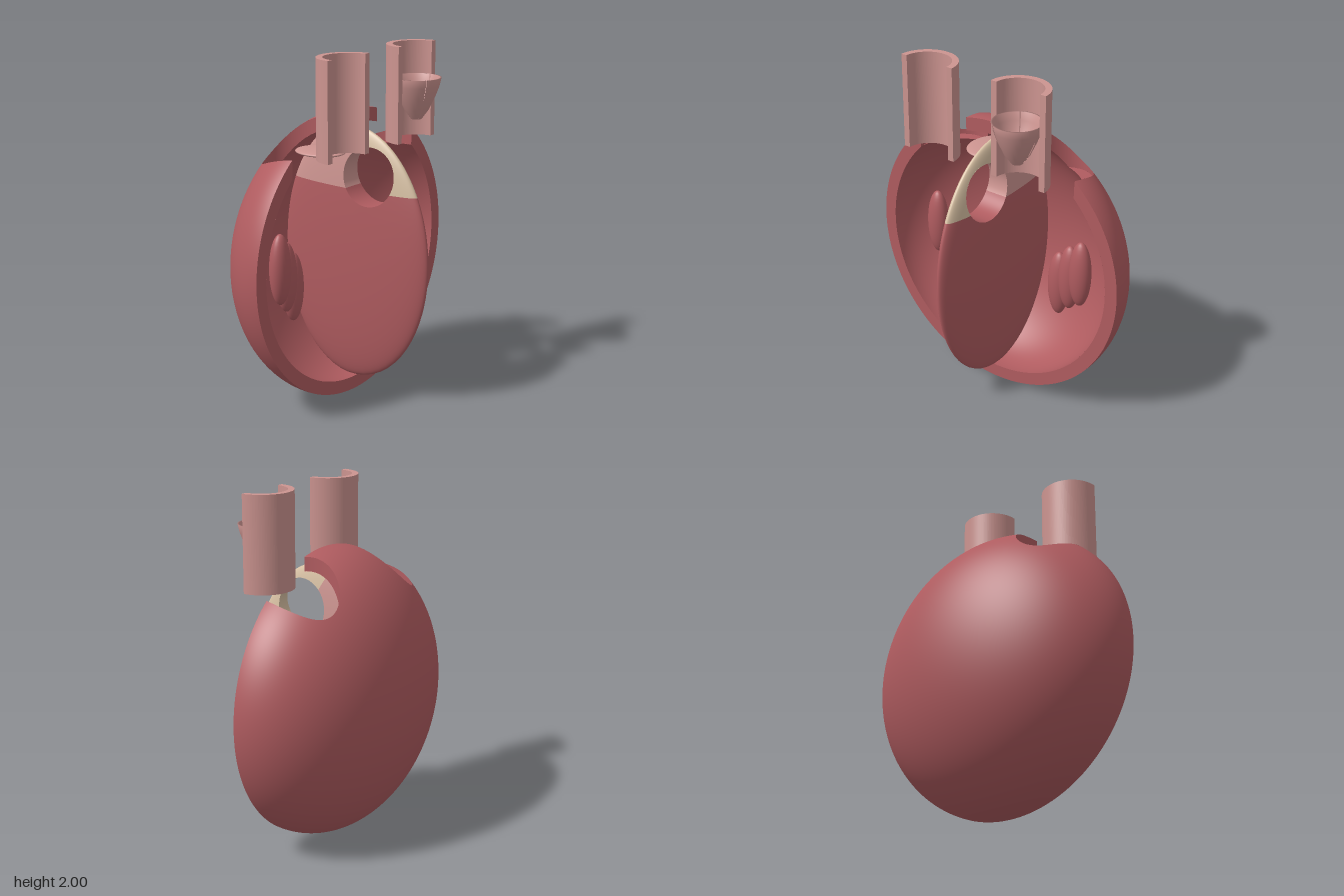
import * as THREE from 'three';
import { mergeVertices } from 'three/addons/utils/BufferGeometryUtils.js';

const flat = (name, color) => Object.assign(
  new THREE.MeshStandardMaterial({ color, side: THREE.DoubleSide }), { name });

// Triangle list from a rule p(u, v), u and v in 0..1
function grid(p, nu, nv) {
  const tris = [];
  for (let i = 0; i < nu; i++) for (let j = 0; j < nv; j++) {
    const [a, b, c, d] = [[i, j], [i + 1, j], [i + 1, j + 1], [i, j + 1]].map(([k, l]) => p(k / nu, l / nv));
    tris.push([a, b, c], [a, c, d]);
  }
  return tris;
}

// Keep the part of the triangles where f >= 0
function clip(tris, f) {
  const out = [];
  for (const t of tris) {
    const poly = [];
    for (let i = 0; i < 3; i++) {
      const a = t[i], b = t[(i + 1) % 3], fa = f(a), fb = f(b);
      if (fa >= 0) poly.push(a);
      if ((fa >= 0) !== (fb >= 0)) poly.push(a.clone().lerp(b, fa / (fa - fb)));
    }
    for (let i = 2; i < poly.length; i++) out.push([poly[0], poly[i - 1], poly[i]]);
  }
  return out;
}

function toGeometry(tris) {
  const g = mergeVertices(new THREE.BufferGeometry().setFromPoints(tris.flat()), 1e-5);
  g.computeVertexNormals();
  return g;
}

export function createModel() {
  const model = new THREE.Group();
  model.name = 'heartCutaway';
  const muscle = flat('muscleRed', 0xb05c60);
  const vessel = flat('vesselPink', 0xcc9490);
  const membrane = flat('membraneBeige', 0xd6bfa2);
  const V = (x, y, z) => new THREE.Vector3(x, y, z);
  const add = (name, geometry, material, parent = model) => {
    const m = new THREE.Mesh(geometry, material);
    m.name = name;
    parent.add(m);
    return m;
  };

  // Hollow half shell, cut at the front plane, with two vessel openings
  const CUT = 0.025, CY = 0.83, FLOOR = 1.36;
  const outer = { a: 0.825, b: 0.83, c: 0.53 }, inner = { a: 0.75, b: 0.753, c: 0.46 };
  const hole = { x: 0.362, z: -0.055, rx: 0.177, rz: 0.24 };
  const bowl = ({ a, b, c }) => (u, v) => {
    const t = v * Math.acos(-CUT / c), p = u * Math.PI * 2;
    return V(a * Math.sin(t) * Math.cos(p), CY + b * Math.sin(t) * Math.sin(p), -c * Math.cos(t));
  };
  const outsideHole = (p) => Math.max(
    ((Math.abs(p.x) - hole.x) / hole.rx) ** 2 + ((p.z - hole.z) / hole.rz) ** 2 - 1, (FLOOR - p.y) * 5);
  const topY = ({ a, b, c }, x, z) => CY + b * Math.sqrt(Math.max(0, 1 - (x / a) ** 2 - (z / c) ** 2));
  const shell = new THREE.Group();
  shell.name = 'heartWall';
  model.add(shell);
  add('outerWall', toGeometry(clip(grid(bowl(outer), 200, 100), outsideHole)), muscle, shell);
  add('innerWall', toGeometry(clip(grid(bowl(inner), 160, 80), outsideHole)), muscle, shell);
  const outerEdge = bowl(outer), innerEdge = bowl(inner);
  const rim = grid((u, v) => outerEdge(u, 1).lerp(innerEdge(u, 1), v), 200, 6);
  add('cutRim', toGeometry(clip(rim, outsideHole)), muscle, shell);

  // Walls and floor ledge of the two openings
  const end = Math.asin((CUT - hole.z) / hole.rz);
  for (const s of [-1, 1]) {
    const side = grid((u, v) => {
      const t = end - u * (Math.PI + 2 * end);
      const x = hole.x + hole.rx * Math.cos(t), z = hole.z + hole.rz * Math.sin(t);
      const hi = Math.max(FLOOR, topY(outer, x, z)), lo = Math.max(FLOOR, topY(inner, x, z));
      return V(s * x, lo + (hi - lo) * v, z);
    }, 60, 1);
    add('openingWall', toGeometry(side), muscle, shell);
    let ledge = grid((u, v) => V(s * (hole.x + hole.rx * v * Math.cos(u * Math.PI * 2)), FLOOR,
      hole.z + hole.rz * v * Math.sin(u * Math.PI * 2)), 64, 16);
    ledge = clip(ledge, (p) => CUT - p.z);
    ledge = clip(ledge, (p) => FLOOR - topY(inner, p.x, p.z));
    ledge = clip(ledge, (p) => topY(outer, p.x, p.z) - FLOOR);
    add('openingLedge', toGeometry(ledge), muscle, shell);
  }

  // Lens-shaped septum with a round window, swept around a point in the window
  const S = { y: 0.83, rx: 0.08, ry: 0.742, rz: 0.53 }, PZ = 0.155, PY = 1.22;
  function septumPoint(t, k, s) {
    const dz = Math.cos(t), dy = Math.sin(t), off = 0.08, R = 0.165;
    const near = off * dy + Math.sqrt((off * dy) ** 2 + R * R - off * off);
    const A = (dz / S.rz) ** 2 + (dy / S.ry) ** 2;
    const B = PZ * dz / S.rz ** 2 + (PY - S.y) * dy / S.ry ** 2;
    const C = (PZ / S.rz) ** 2 + ((PY - S.y) / S.ry) ** 2 - 1;
    const far = (-B + Math.sqrt(B * B - A * C)) / A;
    const d = near + (far - near) * (1 - (1 - k) ** 2);
    const z = PZ + dz * d, y = PY + dy * d;
    const x = S.rx * Math.sqrt(Math.max(0, 1 - (z / S.rz) ** 2 - ((y - S.y) / S.ry) ** 2));
    return V(s * x, y, z < 0 ? z * 0.93 : z);
  }
  const septum = new THREE.Group();
  septum.name = 'septum';
  model.add(septum);
  for (const [name, from, to, material] of [
    ['septumMembrane', 0, 2.1, membrane],
    ['atrialSeptum', 2.1, Math.PI, vessel],
    ['septumMuscle', Math.PI, Math.PI * 2, muscle]]) {
    const at = (u) => from + (to - from) * u;
    const faces = [
      ...grid((u, v) => septumPoint(at(u), v, 1), 60, 24),
      ...grid((u, v) => septumPoint(at(1 - u), v, -1), 60, 24)];
    add(name, toGeometry(faces), material, septum);
    add(name + 'WindowEdge', toGeometry(grid((u, v) => {
      const p = septumPoint(at(u), 0, 1);
      p.x *= 2 * v - 1;
      return p;
    }, 40, 1)), material, septum);
  }

  // Papillary muscles, three on each side
  const ball = new THREE.SphereGeometry(1, 32, 20);
  for (const s of [-1, 1]) {
    for (const [x, y, z] of [[0.51, 0.835, -0.09], [0.41, 0.757, -0.135], [0.315, 0.67, -0.17]]) {
      const m = add('papillaryMuscle', ball, muscle);
      m.position.set(s * x, y, z);
      m.scale.set(0.067, 0.202, 0.055);
    }
  }

  // Flat valve flap under the right opening
  const flap = add('valveFlap', ball, vessel);
  flap.position.set(-0.135, 1.423, -0.115);
  flap.scale.set(0.125, 0.02, 0.15);

  // Half-cut vessels
  const arch = new THREE.Shape();
  arch.absarc(0, 0, 0.173, 0, Math.PI, false);
  arch.absarc(0, 0, 0.137, Math.PI, 0, true);
  const tube = new THREE.ExtrudeGeometry(arch, { depth: 0.54, bevelEnabled: false, curveSegments: 32 });
  tube.rotateX(-Math.PI / 2);
  for (const s of [-1, 1]) add('vessel', tube, vessel).position.set(s * 0.302, 1.46, 0.222);

  // Three valve leaflets in the left vessel
  const profile = [[0.03, 1.58], [0.07, 1.635], [0.105, 1.71], [0.127, 1.77], [0.137, 1.815],
    [0.128, 1.815], [0.117, 1.77], [0.096, 1.71], [0.061, 1.645], [0.03, 1.58]]
    .map(([x, y]) => new THREE.Vector2(x, y));
  for (let i = 0; i < 3; i++) {
    const start = Math.PI / 2 + i * Math.PI * 2 / 3 + 0.03;
    const leaflet = new THREE.LatheGeometry(profile, 20, start, Math.PI * 2 / 3 - 0.06);
    add('valveLeaflet', leaflet, vessel).position.set(0.3, 0, 0.222);
  }
  return model;
}
